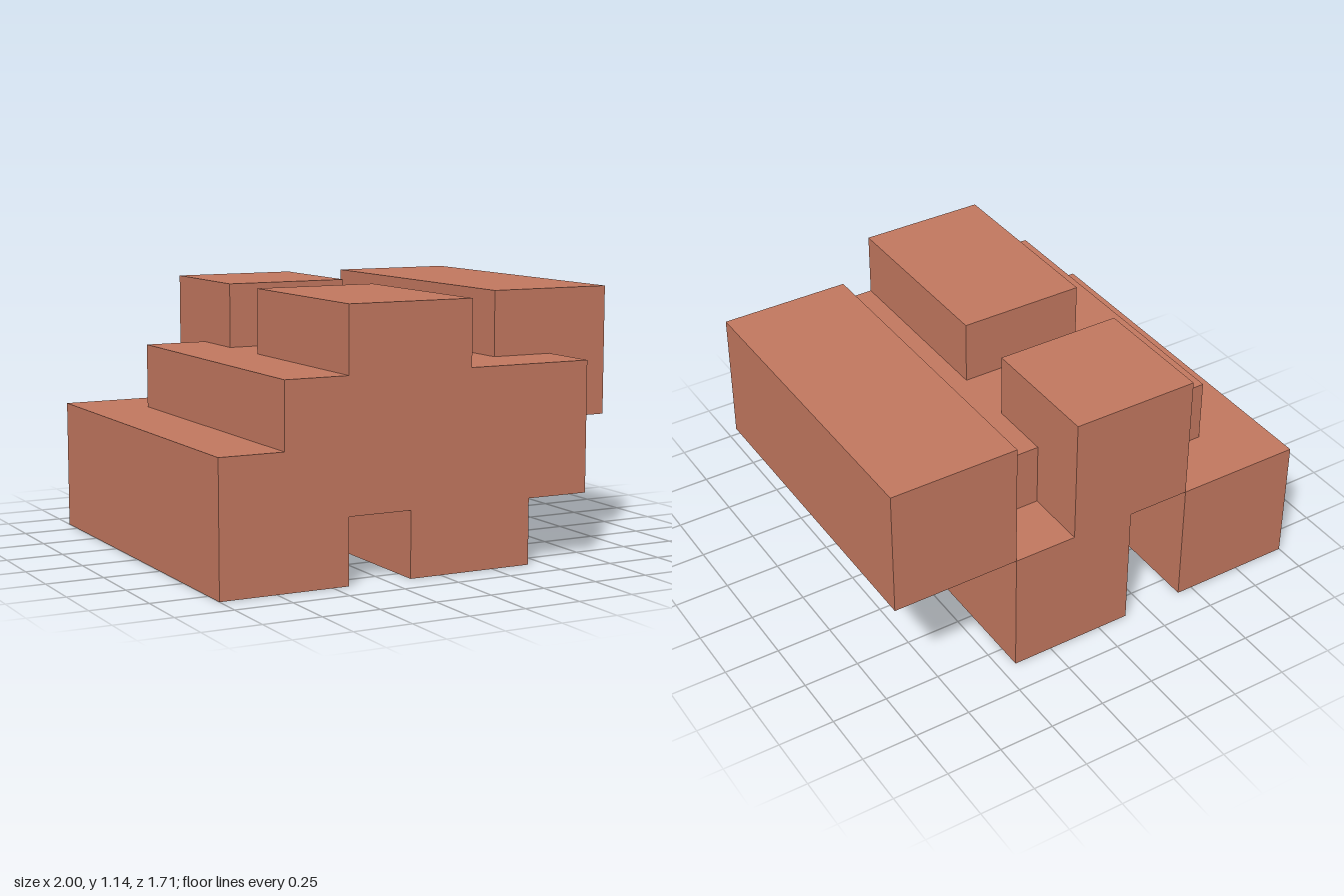
import * as THREE from 'three';

// The whole model sits on a 7 x 4 x 6 grid of equal cells.
const U = 2 / 7;

export function createModel() {
  const group = new THREE.Group();
  const clay = new THREE.MeshStandardMaterial({ color: 0xc0765e });
  clay.name = 'terracotta';

  // Block between grid coordinates; z counts from the back.
  function block(name, [x0, x1], [y0, y1], [z0, z1]) {
    const mesh = new THREE.Mesh(
      new THREE.BoxGeometry((x1 - x0) * U, (y1 - y0) * U, (z1 - z0) * U), clay);
    mesh.position.set(((x0 + x1) / 2 - 3.5) * U, (y0 + y1) / 2 * U, ((z0 + z1) / 2 - 3) * U);
    mesh.name = name;
    group.add(mesh);
  }

  // Long side bars: low on one side, raised on the other
  block('lowSideBar', [0, 2], [0, 2], [0, 6]);
  block('raisedSideBar', [5, 7], [2, 4], [0, 5]);

  // Central body, stepped over the low bar
  const outline = [[2, 1], [6, 1], [6, 3], [1, 3], [1, 2], [2, 2]];
  const profile = new THREE.Shape(outline.map(([x, y]) => new THREE.Vector2((x - 3.5) * U, y * U)));
  const body = new THREE.Mesh(
    new THREE.ExtrudeGeometry(profile, { depth: 5 * U, bevelEnabled: false }), clay);
  body.position.z = -2 * U;
  body.name = 'centralBody';
  group.add(body);

  // Ridge and foot at the front
  block('frontRidge', [2, 4], [3, 4], [3, 6]);
  block('frontFoot', [3, 5], [0, 1], [3, 6]);

  // Offset column at the back
  block('backUpperBlock', [2, 4], [2, 4], [0, 2]);
  block('backLowerBlock', [3, 5], [0, 2], [0, 2]);

  return group;
}
